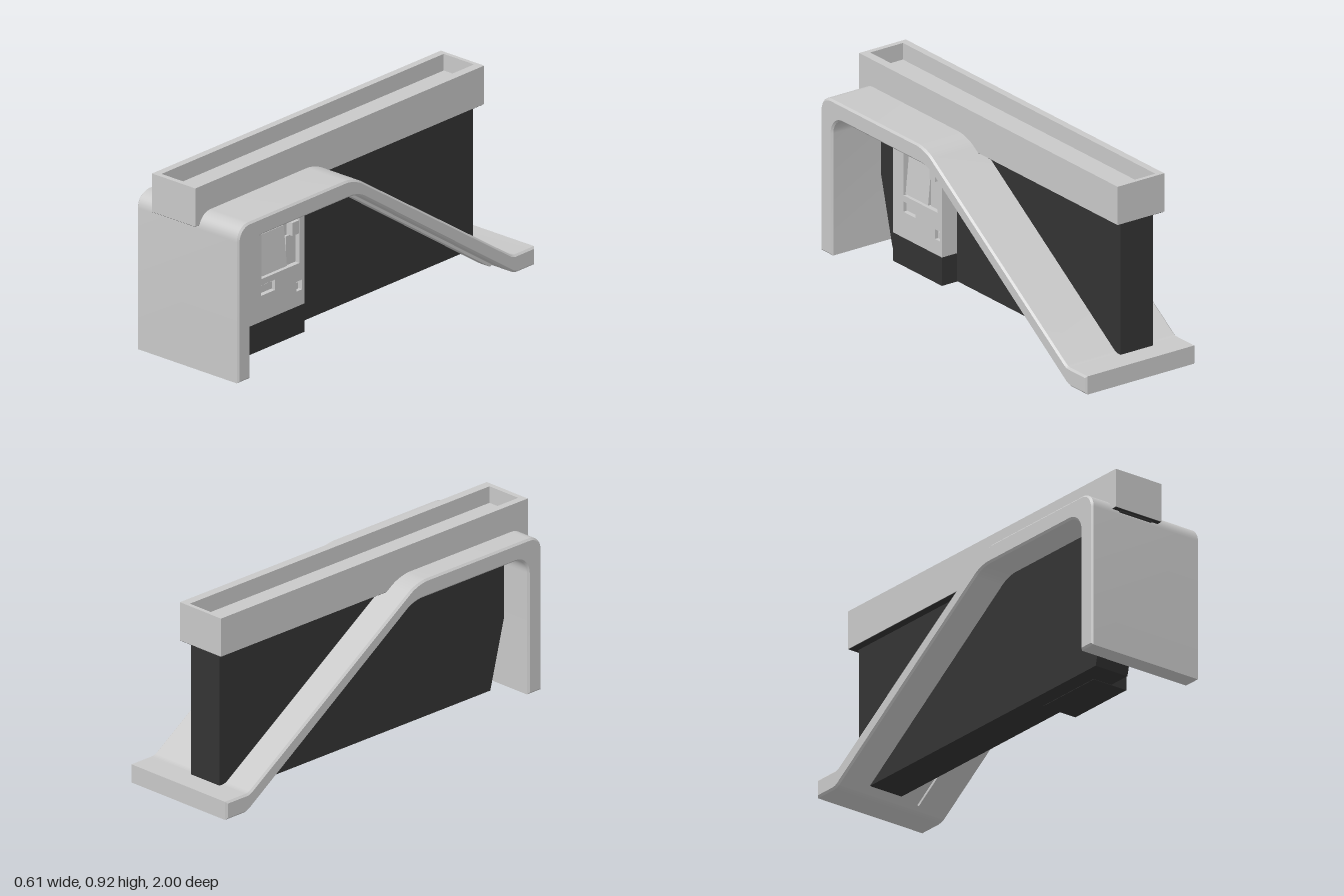
import * as THREE from 'three';
import { toCreasedNormals } from 'three/addons/utils/BufferGeometryUtils.js';

const light = new THREE.MeshStandardMaterial({ color: 0xc8c8c8 });
light.name = 'lightGrey';
const dark = new THREE.MeshStandardMaterial({ color: 0x333333 });
dark.name = 'charcoal';

// Closed outline from [a, b, cornerRadius] points
function outline(points, Type = THREE.Shape) {
  const path = new Type();
  const n = points.length;
  points.forEach(([a, b, r = 0], i) => {
    const p = new THREE.Vector2(a, b);
    const toward = (q) => new THREE.Vector2(q[0], q[1]).sub(p).setLength(r).add(p);
    const s = r ? toward(points[(i + n - 1) % n]) : p;
    if (i === 0) path.moveTo(s.x, s.y);
    else path.lineTo(s.x, s.y);
    if (r) {
      const e = toward(points[(i + 1) % n]);
      // cubic with circular handles for a round fillet
      const c1 = s.clone().lerp(p, 0.55), c2 = e.clone().lerp(p, 0.55);
      path.bezierCurveTo(c1.x, c1.y, c2.x, c2.y, e.x, e.y);
    }
  });
  path.closePath();
  return path;
}

const rect = (a0, a1, b0, b1, Type) => outline([[a0, b0], [a1, b0], [a1, b1], [a0, b1]], Type);

// Extrude a (z, y) side profile from x0 to x1
function extrudeX(shape, x0, x1, bevel = 0) {
  const g = new THREE.ExtrudeGeometry(shape, {
    depth: x1 - x0 - 2 * bevel, curveSegments: 10, bevelEnabled: bevel > 0,
    bevelSize: bevel, bevelThickness: bevel, bevelOffset: -bevel, bevelSegments: 1,
  });
  g.rotateY(-Math.PI / 2).translate(x1 - bevel, 0, 0);
  return toCreasedNormals(g, 0.5);
}

export function createModel() {
  const group = new THREE.Group();
  const add = (name, geometry, material) => {
    const m = new THREE.Mesh(geometry, material);
    m.name = name;
    group.add(m);
    return m;
  };
  const box = (name, mat, x0, x1, y0, y1, z0, z1) => {
    const m = add(name, new THREE.BoxGeometry(x1 - x0, y1 - y0, z1 - z0), mat);
    m.position.set((x0 + x1) / 2, (y0 + y1) / 2, (z0 + z1) / 2);
    return m;
  };

  // Folded ribbon: front leg, roof, long slope and rear foot
  add('ribbonShell', extrudeX(outline([
    [0.89, 0.035], [0.975, 0.035], [0.975, 0.79, 0.075], [0.2, 0.79, 0.06],
    [-0.855, 0.088, 0.015], [-1, 0.088], [-1, 0], [-0.865, 0, 0.02],
    [0.18, 0.705, 0.05], [0.89, 0.705, 0.08],
  ]), -0.305, 0.305, 0.009), light);

  // Raised strip along the underside of the ribbon
  add('undersideStrip', extrudeX(outline([
    [0.895, 0.64], [0.895, 0.71, 0.06], [0.18, 0.71, 0.05], [-0.83, 0.027],
    [-0.815, 0.018], [0.185, 0.694, 0.05], [0.879, 0.694, 0.053], [0.879, 0.64],
  ]), 0.13, 0.2), light);

  // Central wall with a raked front edge
  add('wall', extrudeX(outline([
    [0.805, 0.035], [0.89, 0.36], [0.89, 0.736], [-0.89, 0.736], [-0.89, 0.035],
  ]), -0.15, 0.03), dark);

  // Top trough
  const rim = rect(-0.19, 0.07, -1, 0.92);
  rim.holes.push(rect(-0.155, 0.027, -0.975, 0.9, THREE.Path));
  add('troughRim', new THREE.ExtrudeGeometry(rim, { depth: 0.185, bevelEnabled: false })
    .rotateX(-Math.PI / 2).translate(0, 0.735, 0), light);
  box('troughFloor', light, -0.156, 0.028, 0.737, 0.84, -0.901, 0.976);
  box('troughUnderside', dark, -0.188, 0.068, 0.733, 0.736, -0.918, 0.998);
  box('troughBasePlate', dark, -0.15, 0.03, 0.727, 0.735, -0.9, 0.985);

  // Kiosk on the model's left side
  const front = 0.115;
  const back = 0.085;
  box('kioskBase', dark, -0.07, front, 0.033, 0.17, 0.325, 0.69);
  box('kioskBody', light, 0.02, back, 0.17, 0.706, 0.325, 0.69);
  const panel = rect(0.325, 0.69, 0.17, 0.706);
  for (const [z0, z1, y0, y1] of [
    [0.358, 0.61, 0.375, 0.63], // screen bay
    [0.52, 0.612, 0.295, 0.345], // tray
    [0.34, 0.376, 0.243, 0.29], // side slot
  ]) panel.holes.push(rect(z0, z1, y0, y1, THREE.Path));
  add('kioskPanel', extrudeX(panel, back, front), light);

  // Details inside the screen bay and slots
  const screen = box('tiltedScreen', light, 0.085, 0.1, 0.382, 0.575, 0.435, 0.602);
  screen.rotation.z = 0.1;
  box('sideShelf', light, back, 0.098, 0.38, 0.52, 0.365, 0.43);
  box('cardReader', light, back, 0.12, 0.522, 0.585, 0.368, 0.41);
  box('readerCap', light, back, 0.108, 0.595, 0.62, 0.368, 0.41);
  box('cameraSlot', dark, back, 0.09, 0.587, 0.592, 0.47, 0.488);
  box('trayFlap', light, back, 0.1, 0.3, 0.335, 0.525, 0.607);
  box('slotInsert', light, back, 0.1, 0.245, 0.275, 0.352, 0.374);

  return group;
}
